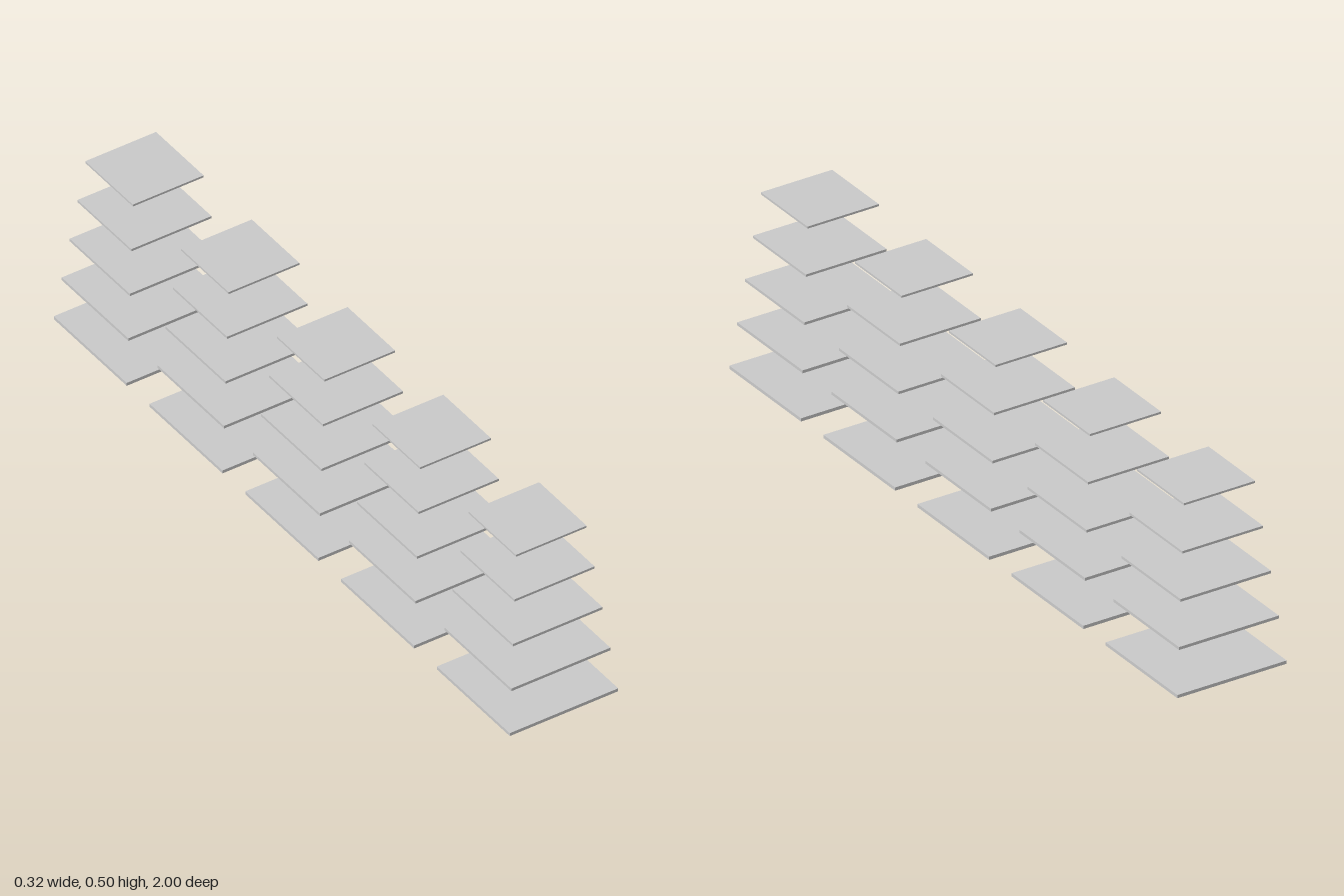
import * as THREE from 'three';

const STACKS = 5, LEVELS = 5;
const SIZE = 0.32, THICKNESS = 0.009; // bottom plate
const STACK_STEP = 0.42, LEVEL_STEP = 0.1237;

export function createModel() {
  const model = new THREE.Group();
  model.name = 'plateStacks';
  const material = new THREE.MeshStandardMaterial({ color: 0xcccccc, flatShading: true });
  const unitPlate = new THREE.BoxGeometry(SIZE, THICKNESS, SIZE);

  // a row of stacks along z, each with floating square plates shrinking upward
  for (let s = 0; s < STACKS; s++) {
    const stack = new THREE.Group();
    stack.name = `stack${s + 1}`;
    stack.position.z = (s - (STACKS - 1) / 2) * STACK_STEP;
    for (let l = 0; l < LEVELS; l++) {
      const plate = new THREE.Mesh(unitPlate, material);
      plate.name = `plate${l + 1}`;
      plate.scale.setScalar(1 - 0.087 * l);
      plate.position.y = THICKNESS / 2 + l * LEVEL_STEP;
      stack.add(plate);
    }
    model.add(stack);
  }
  return model;
}
